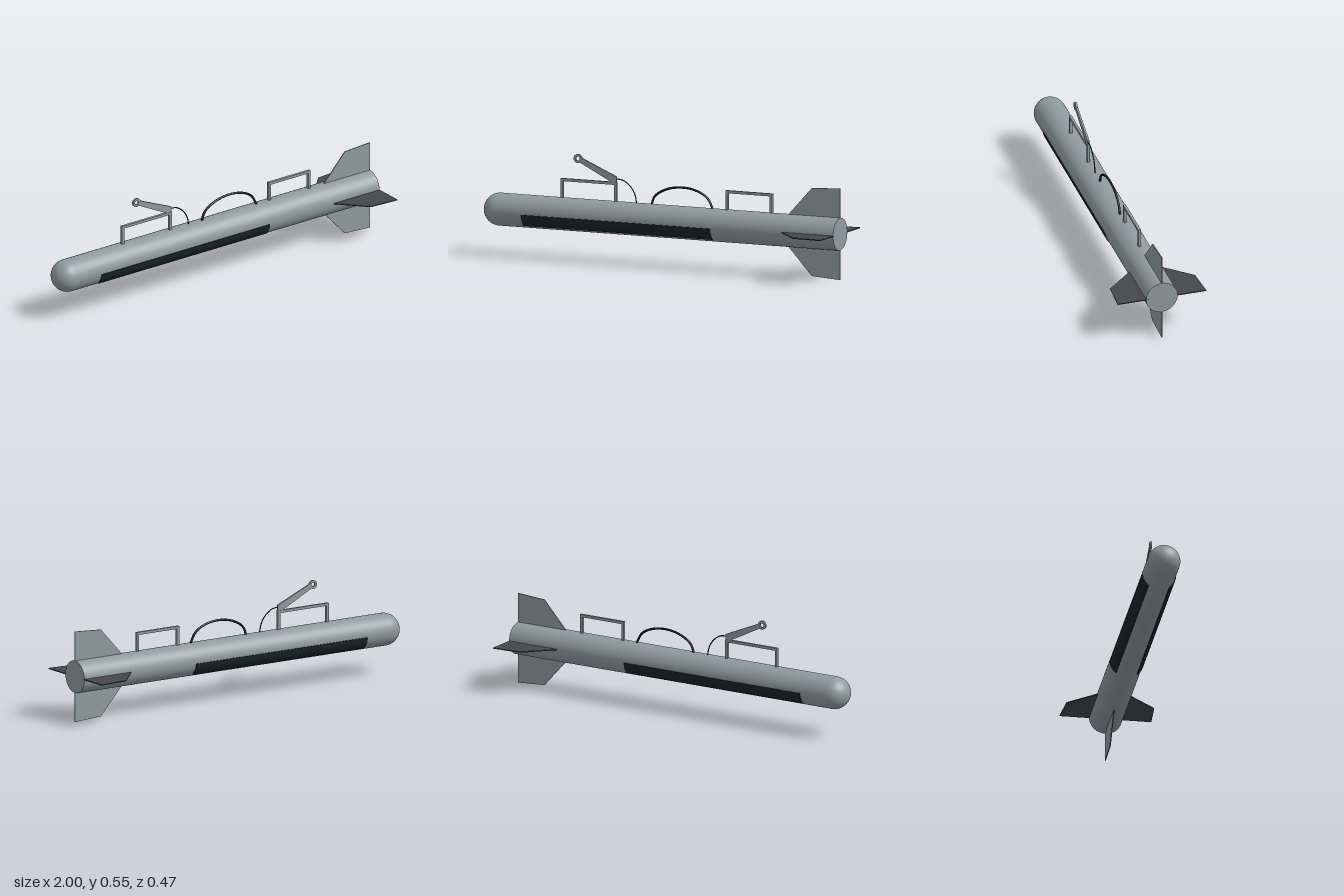
import * as THREE from 'three';

const AXIS_Y = 0.237, R = 0.084;

export function createModel() {
  const model = new THREE.Group();
  const material = (name, color) => {
    const m = new THREE.MeshStandardMaterial({ color });
    m.name = name;
    return m;
  };
  const grey = material('casing grey', 0x909b9d);
  const charcoal = material('fin charcoal', 0x46474c);
  const panelDark = material('panel dark green', 0x1a2526);
  const black = material('cable black', 0x15191b);

  const add = (name, geometry, mat, parent = model) => {
    const mesh = new THREE.Mesh(geometry, mat);
    mesh.name = name;
    parent.add(mesh);
    return mesh;
  };
  // Flat plate in the XY plane, centred on z = 0
  const plate = (shape, depth) =>
    new THREE.ExtrudeGeometry(shape, { depth, bevelEnabled: false, curveSegments: 16 })
      .translate(0, 0, -depth / 2);
  const polygon = (pts) => new THREE.Shape(pts.map(([x, y]) => new THREE.Vector2(x, y)));

  // Casing: tube, round nose at -x, flat tail at +x
  const body = new THREE.Group();
  body.name = 'body';
  body.position.y = AXIS_Y;
  model.add(body);
  const tubeLength = 2 - R;
  add('tube', new THREE.CylinderGeometry(R, R, tubeLength, 48, 1, true)
    .rotateZ(Math.PI / 2).translate(R / 2, 0, 0), grey, body);
  add('nose', new THREE.SphereGeometry(R, 48, 12, 0, Math.PI * 2, 0, Math.PI / 2)
    .rotateZ(Math.PI / 2).translate(-1 + R, 0, 0), grey, body);
  add('tailCap', new THREE.CircleGeometry(R, 48)
    .rotateY(Math.PI / 2).translate(1, 0, 0), grey, body);

  // Four tail fins: vertical pair grey, horizontal pair charcoal
  const finShape = polygon([[0.7, 0.07], [1, 0.07], [1, 0.236], [0.84, 0.226], [0.71, R]]);
  ['topFin', 'leftFin', 'bottomFin', 'rightFin'].forEach((name, i) => {
    const fin = add(name, plate(finShape, 0.005), i % 2 ? charcoal : grey, body);
    fin.rotation.x = i * Math.PI / 2;
  });

  // Curved dark panels along both lower flanks
  const rad = THREE.MathUtils.degToRad;
  for (const side of [1, -1]) {
    const from = side > 0 ? rad(-5) : rad(185);
    const to = side > 0 ? rad(-51) : rad(231);
    const arc = new THREE.Shape();
    arc.absarc(0, 0, 0.088, from, to, side > 0);
    arc.absarc(0, 0, 0.083, to, from, side < 0);
    const geo = new THREE.ExtrudeGeometry(arc, { depth: 1.065, bevelEnabled: false, curveSegments: 16 });
    geo.rotateY(Math.PI / 2).translate(-0.76, 0, 0);
    add(side > 0 ? 'backPanel' : 'frontPanel', geo, panelDark, body);
  }

  // Square-section carrying handles
  const bar = 0.014, base = 0.31, top = 0.42;
  for (const [name, x0, x1] of [['noseHandle', -0.573, -0.258], ['tailHandle', 0.356, 0.62]]) {
    const handle = new THREE.Group();
    handle.name = name;
    model.add(handle);
    for (const x of [x0 + bar / 2, x1 - bar / 2]) {
      add('post', new THREE.BoxGeometry(bar, top - base - bar, bar)
        .translate(x, (top - bar + base) / 2, 0), grey, handle);
    }
    add('grip', new THREE.BoxGeometry(x1 - x0, bar, bar)
      .translate((x0 + x1) / 2, top - bar / 2, 0), grey, handle);
  }

  // Tilted lever with a ring eye at its tip
  const eye = [-0.478, 0.527];
  const lever = new THREE.Group();
  lever.name = 'lever';
  model.add(lever);
  add('leverArm', plate(polygon([
    [-0.468, 0.509], [-0.275, 0.412], [-0.26, 0.415], [-0.26, 0.448], [-0.459, 0.533],
  ]), 0.01), grey, lever);
  const ring = new THREE.Shape().absarc(eye[0], eye[1], 0.023, 0, Math.PI * 2, false);
  ring.holes.push(new THREE.Path().absarc(eye[0], eye[1], 0.011, 0, Math.PI * 2, true));
  add('leverEye', plate(ring, 0.01), grey, lever);

  // Cables looping into the casing
  const cable = (name, pts, radius, segments) => {
    const curve = new THREE.CatmullRomCurve3(pts.map(([x, y]) => new THREE.Vector3(x, y, 0)));
    add(name, new THREE.TubeGeometry(curve, segments, radius, 8, false), black);
  };
  cable('lanyard', [[-0.265, 0.437], [-0.225, 0.432], [-0.185, 0.405], [-0.158, 0.365], [-0.146, 0.31]], 0.003, 20);
  cable('cableLoop', [[-0.066, 0.31], [-0.045, 0.362], [0.015, 0.4], [0.1, 0.417],
    [0.185, 0.407], [0.25, 0.373], [0.286, 0.31]], 0.006, 28);

  return model;
}
